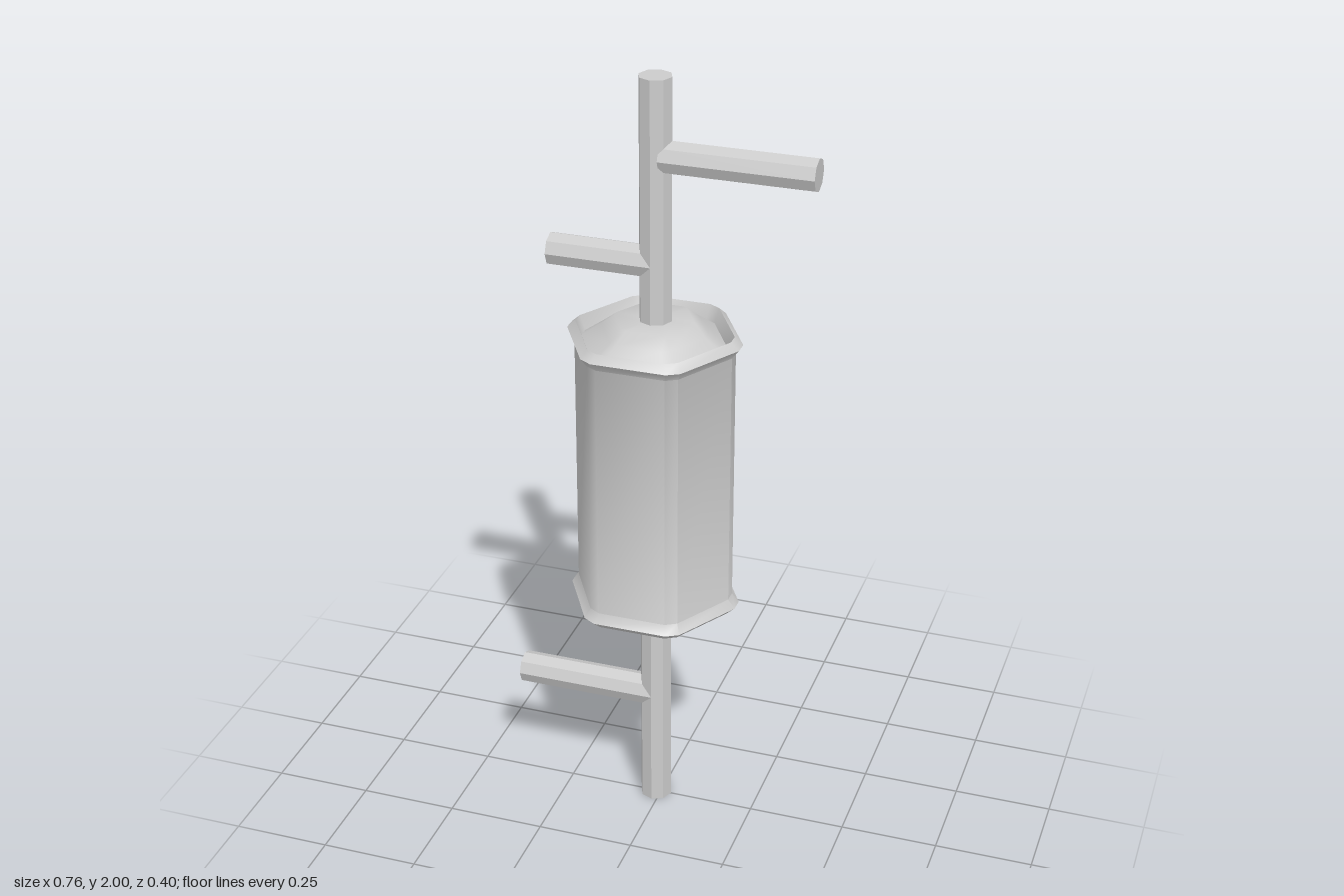
import * as THREE from 'three';
import { toCreasedNormals } from 'three/addons/utils/BufferGeometryUtils.js';

const material = new THREE.MeshStandardMaterial({ color: 0xcccccc });
const poleMaterial = new THREE.MeshStandardMaterial({ color: 0xcccccc, flatShading: true });
const ROD = 0.041;
const POLE_X = -0.0135;

// Unit-apothem hexagon with slightly cut corners
function hexagon(cut) {
  const corners = [];
  for (let k = 0; k < 6; k++) {
    const a = (k * Math.PI) / 3;
    corners.push(new THREE.Vector2(Math.cos(a), Math.sin(a)).multiplyScalar(2 / Math.sqrt(3)));
  }
  return corners.flatMap((c, k) => [
    c.clone().lerp(corners[(k + 5) % 6], cut),
    c.clone().lerp(corners[(k + 1) % 6], cut),
  ]);
}

// Hexagonal rings stacked along a profile of [apothem, height]
function hexLathe(profile) {
  const ring = hexagon(0.09);
  const n = ring.length;
  const positions = [];
  const index = [];
  for (const [r, y] of profile) for (const p of ring) positions.push(p.x * r, y, p.y * r);
  for (let i = 0; i < profile.length - 1; i++) {
    for (let j = 0; j < n; j++) {
      const a = i * n + j;
      const b = i * n + ((j + 1) % n);
      index.push(a, a + n, b, b, a + n, b + n);
    }
  }
  const geometry = new THREE.BufferGeometry();
  geometry.setAttribute('position', new THREE.Float32BufferAttribute(positions, 3));
  geometry.setIndex(index);
  return toCreasedNormals(geometry, 0.75);
}

// Octagonal rod between two x positions at one height
function arm(name, x0, x1, y) {
  const mesh = new THREE.Mesh(new THREE.CylinderGeometry(ROD, ROD, Math.abs(x1 - x0), 8), poleMaterial);
  mesh.rotation.z = Math.PI / 2;
  mesh.position.set((x0 + x1) / 2, y, 0);
  mesh.name = name;
  return mesh;
}

export function createModel() {
  const model = new THREE.Group();
  model.name = 'poleWithDrum';

  // Central pole
  const pole = new THREE.Mesh(new THREE.CylinderGeometry(ROD, ROD, 2, 8), poleMaterial);
  pole.position.set(POLE_X, 1, 0);
  pole.name = 'pole';
  model.add(pole);

  // Side arms
  model.add(
    arm('upperLeftArm', 0.003, 0.38, 1.805),
    arm('upperRightArm', -0.28, POLE_X, 1.537),
    arm('lowerRightArm', -0.38, POLE_X, 0.322),
  );

  // Drum: wall, flared rim, recessed groove and domed end, mirrored top to bottom
  const half = [
    [0.182, 0.337],
    [0.198, 0.36],
    [0.179, 0.379],
    [0.166, 0.342],
    [0.12, 0.379],
    [0.09, 0.405],
    [0.025, 0.405],
  ];
  const mirrored = half.map(([r, y]) => [r, -y]).reverse();
  const drum = new THREE.Mesh(hexLathe([...mirrored, ...half]), material);
  drum.position.set(-0.0165, 0.983, 0);
  drum.name = 'drum';
  model.add(drum);

  return model;
}
